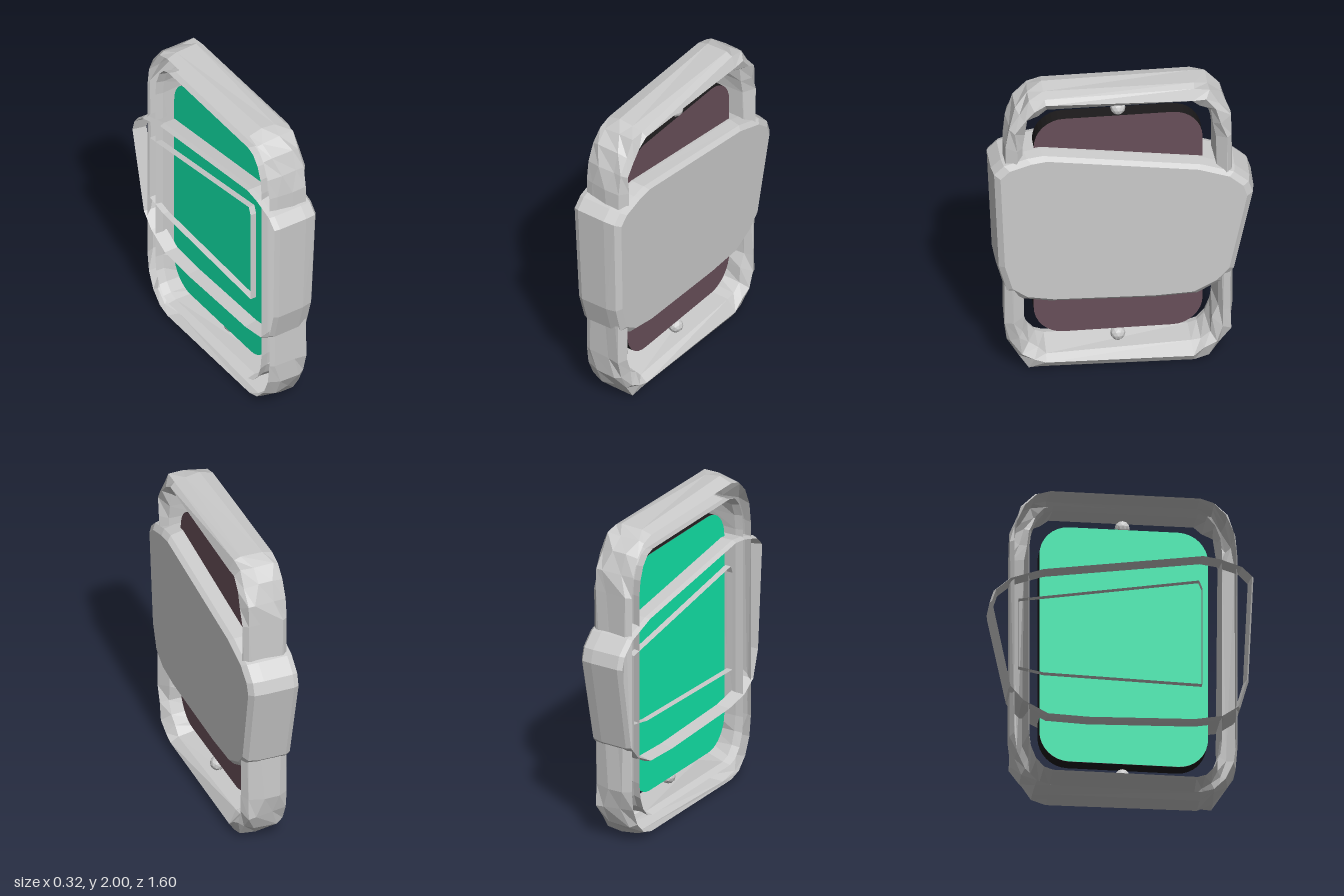
import * as THREE from 'three';

const grey = new THREE.MeshStandardMaterial({ color: 0xcccccc, flatShading: true });
const thin = new THREE.MeshStandardMaterial({ color: 0xcccccc, flatShading: true, side: THREE.DoubleSide });
const paint = (color) => new THREE.MeshStandardMaterial({ color });

function addMesh(group, name, geometry, material) {
  const mesh = new THREE.Mesh(geometry, material);
  mesh.name = name;
  group.add(mesh);
  return mesh;
}

// Joins rings of [x, y, z] points into a faceted skin.
// loop joins last ring to first; open leaves a gap between a ring's ends; cap fills the last ring.
function loft(rings, { loop = false, open = false, cap = false } = {}) {
  const pos = [], count = rings[0].length;
  for (let i = 0; i < rings.length - (loop ? 0 : 1); i++) {
    const near = rings[i], far = rings[(i + 1) % rings.length];
    for (let j = 0; j < count - (open ? 1 : 0); j++) {
      const k = (j + 1) % count;
      pos.push(...near[j], ...far[j], ...far[k], ...near[j], ...far[k], ...near[k]);
    }
  }
  if (cap) {
    const end = rings[rings.length - 1];
    const mid = [0, 1, 2].map((a) => end.reduce((s, p) => s + p[a], 0) / count);
    for (let j = 0; j < count; j++) pos.push(...mid, ...end[(j + 1) % count], ...end[j]);
  }
  const g = new THREE.BufferGeometry();
  g.setAttribute('position', new THREE.Float32BufferAttribute(pos, 3));
  g.computeVertexNormals();
  return g;
}

// Rounded rectangle as [z, y] points, running from the front edge over the top.
function roundedLoop(z0, z1, y0, y1, rz, ry, steps) {
  const corners = [[z1 - rz, y1 - ry], [z0 + rz, y1 - ry], [z0 + rz, y0 + ry], [z1 - rz, y0 + ry]];
  return corners.flatMap(([cz, cy], c) => Array.from({ length: steps + 1 }, (_, i) => {
    const a = (c + i / steps) * Math.PI / 2;
    return [cz + rz * Math.cos(a), cy + ry * Math.sin(a)];
  }));
}

// Rough-hewn frame, hollow at the back: section runs from the inner edge over the crest to the outer edge
function frameGeometry() {
  const outer = roundedLoop(-0.67, 0.72, 0, 2, 0.24, 0.36, 4);
  const inner = roundedLoop(-0.55, 0.6, 0.14, 1.865, 0.14, 0.25, 4);
  const section = [
    [-0.14, 0.08], [-0.09, 0], [0.09, 0.1], [0.14, 0.5],
    [0.11, 0.88], [0.04, 1], [-0.08, 0.98], [-0.14, 0.8],
  ];
  const rings = outer.map(([oz, oy], i) => section.map(([x, t], j) => {
    const edge = j < 2 || j === 7;
    const s = edge ? t : Math.min(1, t + 0.13 * Math.sin(i * 2.4 + j * 1.7));
    const dx = j === 5 || j === 6 ? 0.03 * Math.sin(i * 1.9 + j) : 0;
    const [iz, iy] = inner[i];
    return [x + dx, iy + (oy - iy) * s, iz + (oz - iz) * s];
  }));
  return loft(rings, { loop: true, open: true });
}

// Skewed outline of the cover as [z, y]
const coverOutline = [
  [0.8, 1.47], [0.74, 1.53], [0.6, 1.575], [0.5, 1.59], [-0.48, 1.45], [-0.68, 1.38],
  [-0.77, 1.3], [-0.795, 1.22], [-0.68, 0.66], [-0.6, 0.57], [-0.45, 0.49], [-0.2, 0.48],
  [0.45, 0.5], [0.62, 0.53], [0.72, 0.6], [0.77, 0.78],
];
const coverRing = (x, s) => coverOutline.map(([z, y]) => [
  x * (0.85 + 0.1 * y), 1.03 + (y - 1.03) * s, z * s,
]);

// Low strip behind the panel as [z, y]
const borderOutline = [[0.47, 1.43], [-0.62, 1.25], [-0.62, 0.8], [-0.47, 0.77], [0.49, 0.745], [0.49, 1.38]];
const borderRing = (x) => borderOutline.map(([z, y]) => [x, y, z]);

export function createModel() {
  const model = new THREE.Group();

  addMesh(model, 'frame', frameGeometry(), thin);

  // Cover: short inner wall at the open back, straight rim, bevelled flat face
  addMesh(model, 'cover', loft([
    coverRing(-0.07, 0.965), coverRing(-0.163, 0.985), coverRing(-0.13, 1),
    coverRing(0.06, 0.995), coverRing(0.13, 0.98), coverRing(0.158, 0.935),
  ], { cap: true }), grey);

  // Thin border behind the panel
  addMesh(model, 'innerBorder', loft([borderRing(-0.14), borderRing(-0.1)]), thin);

  // Two-coloured panel inside the frame
  const panelLoop = roundedLoop(-0.485, 0.535, 0.23, 1.78, 0.18, 0.19, 8);
  const shape = new THREE.Shape(panelLoop.map(([z, y]) => new THREE.Vector2(-z, y)));
  const panel = new THREE.Group();
  panel.name = 'panel';
  const core = new THREE.ExtrudeGeometry(shape, { depth: 0.095, bevelEnabled: false }).rotateY(Math.PI / 2);
  addMesh(panel, 'panelCore', core, [paint(0x684f59), paint(0x1c1a1b)]).position.x = -0.05;
  const back = new THREE.ShapeGeometry(new THREE.Shape(panelLoop.map(([z, y]) => new THREE.Vector2(z, y))));
  addMesh(panel, 'panelBack', back.rotateY(-Math.PI / 2), paint(0x12e6a9)).position.x = -0.053;
  model.add(panel);

  // Small studs above and below the panel
  for (const [name, y] of [['topStud', 1.825], ['bottomStud', 0.182]]) {
    addMesh(model, name, new THREE.IcosahedronGeometry(0.046, 1), grey).position.set(0.025, y, 0.025);
  }
  return model;
}
